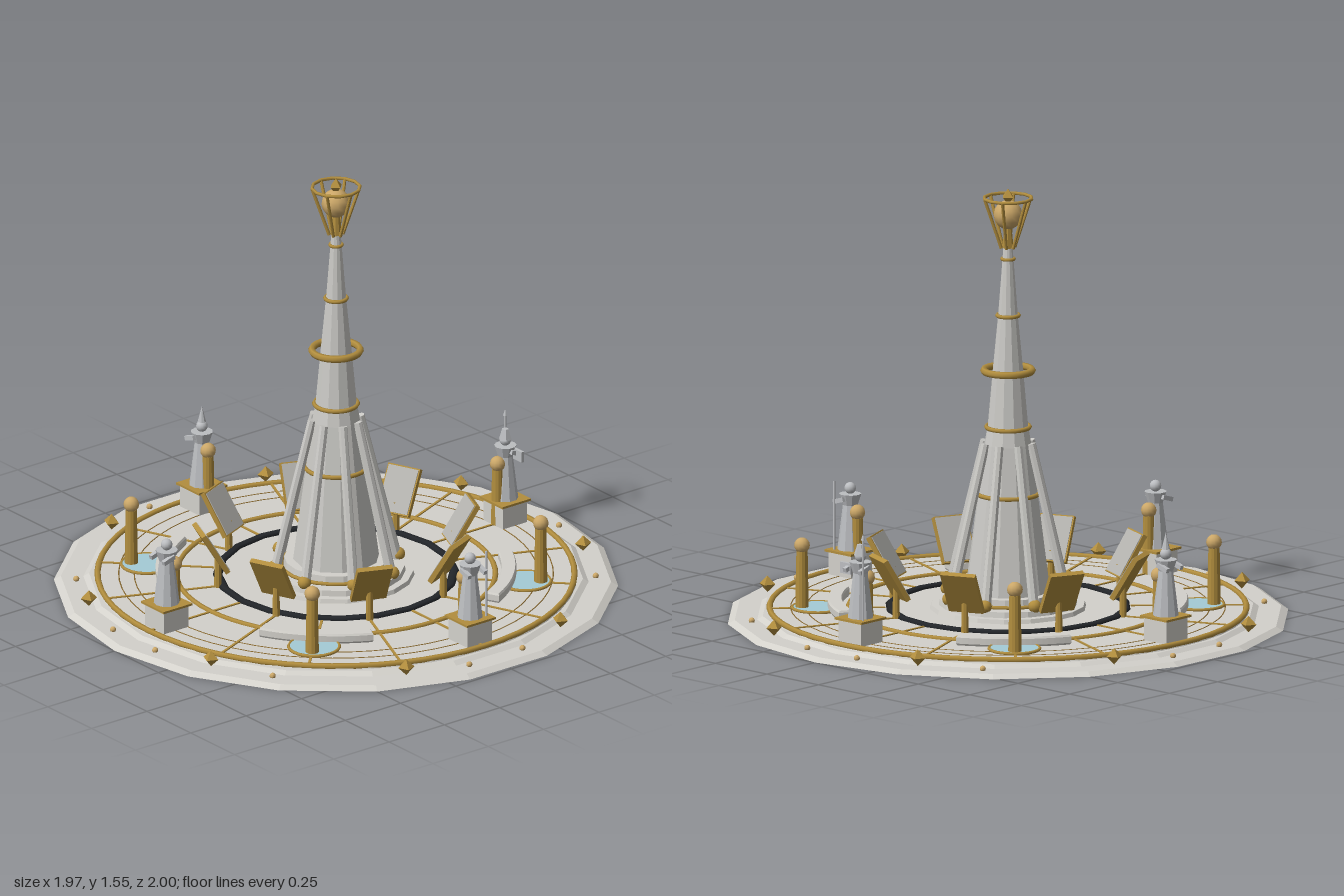
import * as THREE from 'three';

const mat = (name, color) => Object.assign(new THREE.MeshStandardMaterial({ color }), { name });

export function createModel() {
  const root = new THREE.Group();
  root.name = 'monumentPlaza';
  const stone = mat('pale stone', 0xd3d1cb), tower = mat('tower stone', 0xcbcac6);
  const gold = mat('gold', 0xb28e3e), tan = mat('light gold', 0xcba768);
  const dark = mat('dark inlay', 0x23262a), water = mat('pool water', 0xa4cbd6);
  const figure = mat('statue grey', 0xbcbec1), screen = mat('panel grey', 0xb5b4b0);
  const bronze = mat('dark bronze', 0x8a6a30);

  // Helpers: every part gets faceted normals unless smooth is asked for
  const add = (parent, name, geo, material, x = 0, y = 0, z = 0, smooth = false) => {
    let g = geo;
    if (!smooth) {
      g = geo.index ? geo.toNonIndexed() : geo;
      g.computeVertexNormals();
    }
    const m = new THREE.Mesh(g, material);
    m.name = name;
    m.position.set(x, y, z);
    parent.add(m);
    return m;
  };
  const cyl = (rTop, rBottom, h, n = 12) => new THREE.CylinderGeometry(rTop, rBottom, h, n);
  const box = (w, h, d) => new THREE.BoxGeometry(w, h, d);
  const ball = (r) => new THREE.SphereGeometry(r, 12, 8);
  const ring = (parent, name, r, tube, y, material, n = 48, x = 0, z = 0) => {
    const g = new THREE.TorusGeometry(r, tube, 6, n).rotateX(Math.PI / 2);
    return add(parent, name, g, material, x, y, z, true);
  };
  // Straight round bar between two points
  const bar = (parent, name, a, b, r0, r1, material) => {
    const d = b.clone().sub(a);
    const m = add(parent, name, cyl(r1, r0, d.length(), 8), material);
    m.position.copy(a).addScaledVector(d, 0.5);
    m.quaternion.setFromUnitVectors(new THREE.Vector3(0, 1, 0), d.normalize());
    return m;
  };
  // Groups set around the centre; +z in each group points outward
  const around = (name, n, offset, build) => {
    for (let i = 0; i < n; i++) {
      const g = new THREE.Group();
      g.name = name;
      g.rotation.y = offset + (i * Math.PI * 2) / n;
      root.add(g);
      build(g, i);
    }
  };

  // Stepped plaza
  add(root, 'baseSlab', cyl(0.975, 1, 0.014, 18), stone, 0, 0.007, 0);
  add(root, 'middleStep', cyl(0.875, 0.895, 0.012, 18), stone, 0, 0.02, 0);
  add(root, 'plazaFloor', cyl(0.85, 0.855, 0.01, 48), stone, 0, 0.03, 0);
  ring(root, 'outerGoldRing', 0.845, 0.011, 0.036, gold, 64);
  ring(root, 'innerGoldRing', 0.565, 0.01, 0.036, gold, 64);
  for (const r of [0.77, 0.715]) ring(root, 'thinInlayRing', r, 0.0025, 0.0345, bronze, 64);
  const inlay = ring(root, 'darkRing', 0.42, 0.017, 0.038, dark, 20);
  inlay.scale.y = 0.6;
  around('spoke', 16, 0, (g) => add(g, 'spokeInlay', box(0.009, 0.006, 0.41), gold, 0, 0.036, 0.64));

  // Rim studs
  around('rimFinial', 8, Math.PI / 8, (g) =>
    add(g, 'rimGem', new THREE.OctahedronGeometry(0.03), gold, 0, 0.046, 0.91));
  for (const a of [7.5, 37.5, 82.5]) for (const sx of [1, -1]) for (const sz of [1, -1]) {
    const t = THREE.MathUtils.degToRad(a);
    add(root, 'rimStud', ball(0.011), tan, sx * Math.sin(t) * 0.92, 0.02, sz * Math.cos(t) * 0.92);
  }

  // Lamp pillars
  around('lampPillar', 8, 0, (g) => {
    add(g, 'pillarShaft', cyl(0.02, 0.024, 0.21), gold, 0, 0.14, 0.73);
    add(g, 'pillarBall', ball(0.028), tan, 0, 0.265, 0.73, true);
  });

  // Pools with curved benches
  around('poolCorner', 4, Math.PI / 4, (g) => {
    add(g, 'poolWater', cyl(0.088, 0.088, 0.008, 24), water, 0, 0.038, 0.675);
    ring(g, 'poolRim', 0.09, 0.006, 0.039, gold, 24, 0, 0.675);
    const arc = 0.64, s = new THREE.Shape();
    s.absarc(0, 0, 0.635, Math.PI / 2 - arc / 2, Math.PI / 2 + arc / 2, false);
    s.absarc(0, 0, 0.59, Math.PI / 2 + arc / 2, Math.PI / 2 - arc / 2, true);
    const bench = new THREE.ExtrudeGeometry(s, {
      depth: 0.022, bevelEnabled: true, bevelSize: 0.004, bevelThickness: 0.007, bevelSegments: 1, curveSegments: 10,
    }).rotateX(Math.PI / 2);
    add(g, 'curvedBench', bench, stone, 0, 0.064, 0);
  });

  // Tilted display panels, leaning outward at the top
  around('displayPanel', 8, Math.PI / 8, (g) => {
    add(g, 'panelPost', cyl(0.012, 0.014, 0.12, 8), gold, 0, 0.09, 0.435);
    const p = new THREE.Group();
    p.name = 'panelBoard';
    p.position.set(0, 0.185, 0.46);
    p.rotation.x = 0.54;
    g.add(p);
    add(p, 'panelBack', box(0.13, 0.175, 0.018), gold);
    add(p, 'panelFace', box(0.12, 0.165, 0.004), screen, 0, 0, -0.01);
  });

  // Tower foot
  [[0.28, 0.05], [0.25, 0.07], [0.19, 0.1]].forEach(([r, top]) =>
    add(root, 'towerStep', cyl(r - 0.006, r, top - 0.03, 18), stone, 0, (top + 0.03) / 2, 0));
  ring(root, 'footRing', 0.195, 0.007, 0.075, gold, 24);

  // Tower shaft
  const profile = [[0.155, 0.09], [0.085, 0.63], [0.074, 0.69], [0.055, 0.9], [0.036, 1.095], [0.02, 1.3], [0.013, 1.4]]
    .map(([r, y]) => new THREE.Vector2(r, y));
  add(root, 'towerShaft', new THREE.LatheGeometry(profile, 12), tower);
  ring(root, 'lowerCollar', 0.111, 0.008, 0.45, gold, 24);
  ring(root, 'neckCollar', 0.077, 0.008, 0.69, gold, 24);
  ring(root, 'wideCollar', 0.086, 0.013, 0.895, gold, 24);
  ring(root, 'upperCollar', 0.039, 0.007, 1.095, gold, 16);
  ring(root, 'topCollar', 0.022, 0.006, 1.3, gold, 16);

  // Leaning buttresses
  around('buttress', 8, Math.PI / 8, (g) => {
    bar(g, 'buttressLeg', new THREE.Vector3(0, 0.07, 0.225), new THREE.Vector3(0, 0.635, 0.088), 0.019, 0.016, tower);
    add(g, 'buttressFoot', ball(0.024), gold, 0, 0.085, 0.23, true);
  });

  // Crown: globe held in a cage of prongs
  add(root, 'crownGlobe', ball(0.052), tan, 0, 1.46, 0, true);
  const spike = add(root, 'crownSpike', new THREE.OctahedronGeometry(0.025), gold, 0, 1.525, 0);
  spike.scale.y = 1.2;
  add(root, 'crownStem', cyl(0.012, 0.02, 0.08, 8), gold, 0, 1.38, 0);
  ring(root, 'crownRing', 0.086, 0.006, 1.52, gold, 12);
  around('crownProng', 6, Math.PI / 2, (g) =>
    bar(g, 'prong', new THREE.Vector3(0, 1.34, 0.025), new THREE.Vector3(0, 1.52, 0.086), 0.006, 0.006, gold));

  // Four statues on pedestals, in order front, left, back, right
  const heads = ['ball', 'staff', 'crown', 'spike'];
  around('statue', 4, 0, (g, i) => {
    const z = 0.765;
    add(g, 'pedestal', box(0.11, 0.085, 0.11), stone, 0, 0.076, z);
    add(g, 'pedestalPlate', box(0.13, 0.008, 0.13), gold, 0, 0.122, z);
    add(g, 'robe', cyl(0.026, 0.046, 0.165, 10), figure, 0, 0.208, z);
    add(g, 'shoulders', cyl(0.04, 0.027, 0.04, 10), figure, 0, 0.308, z);
    add(g, 'head', ball(0.021), figure, 0, 0.348, z, true);
    for (const s of [1, -1]) {
      const arm = add(g, 'arm', box(0.016, 0.016, 0.05), figure, s * 0.036, 0.305, z + 0.02);
      arm.rotation.x = 0.3;
    }
    if (heads[i] === 'spike') add(g, 'pointedHat', cyl(0, 0.015, 0.06, 8), figure, 0, 0.395, z);
    if (heads[i] === 'crown') add(g, 'crownHat', cyl(0.012, 0.024, 0.04, 6), figure, 0, 0.37, z);
    if (heads[i] === 'crown' || heads[i] === 'staff') {
      const h = heads[i] === 'crown' ? 0.3 : 0.25;
      add(g, 'staff', cyl(0.004, 0.004, h, 6), figure, 0.045, 0.125 + h / 2, z + 0.035);
      if (heads[i] === 'crown') {
        add(g, 'staffTip', cyl(0, 0.008, 0.025, 6), figure, 0.045, 0.43, z + 0.035);
        add(g, 'heldTablet', box(0.05, 0.04, 0.012), figure, -0.05, 0.3, z + 0.02);
      }
    }
  });
  return root;
}
